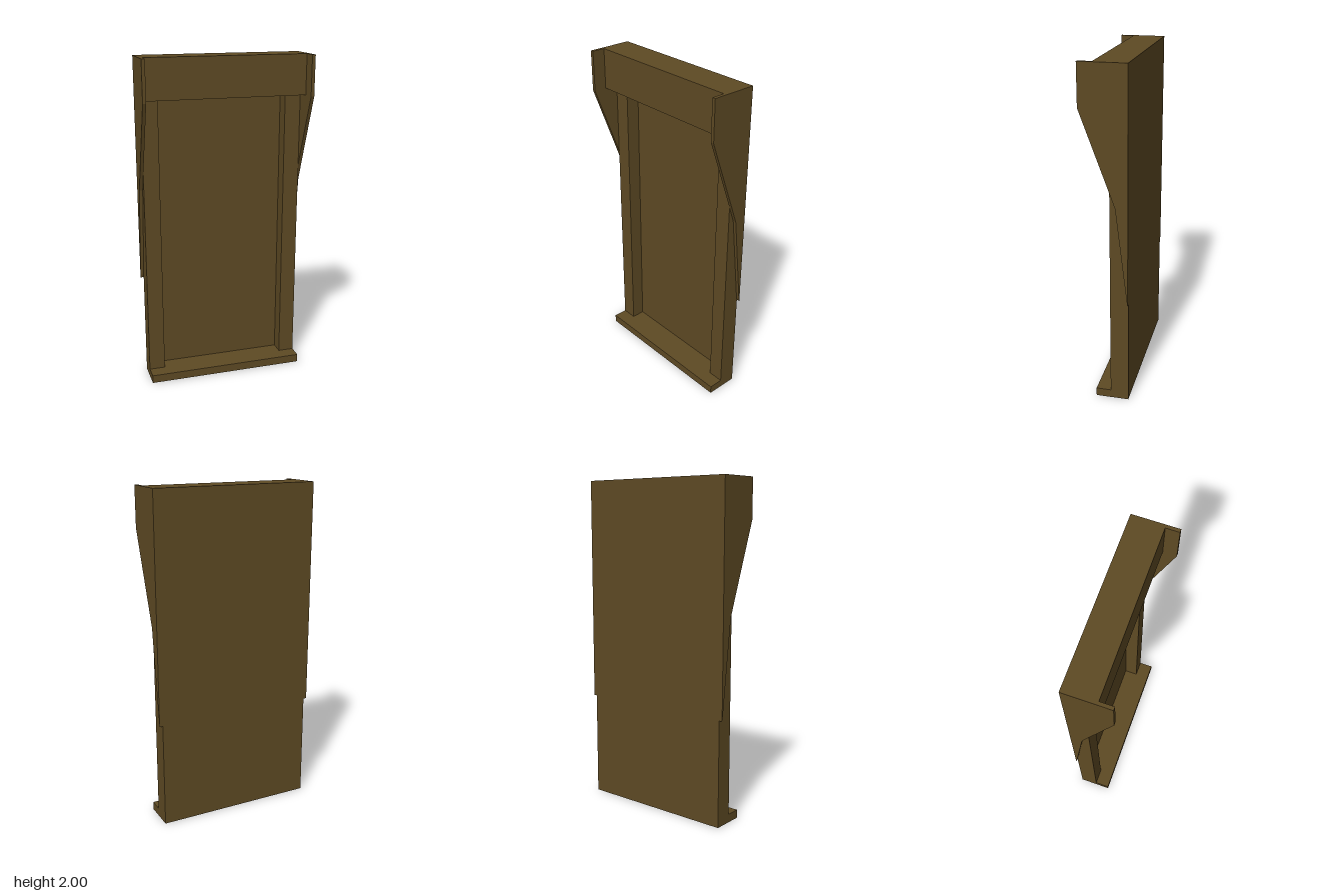
import * as THREE from 'three';

const BACK = -0.135;
const INNER = 0.487; // half width between the side cheeks
const OUTER = 0.507;

export function createModel() {
  const group = new THREE.Group();
  const wood = new THREE.MeshStandardMaterial({ color: 0x5e4a24, flatShading: true });

  const add = (name, geometry) => {
    const mesh = new THREE.Mesh(geometry, wood);
    mesh.name = name;
    group.add(mesh);
  };

  // Box given by its lower and upper limits on each axis
  const board = (name, x0, x1, y0, y1, z0, z1) => {
    const geometry = new THREE.BoxGeometry(x1 - x0, y1 - y0, z1 - z0);
    geometry.translate((x0 + x1) / 2, (y0 + y1) / 2, (z0 + z1) / 2);
    add(name, geometry);
  };

  // Recessed panel, header box and bottom ledge
  board('backPanel', -0.39, 0.39, 0.05, 1.76, BACK, -0.112);
  board('header', -INNER, INNER, 1.76, 2, BACK, 0.056);
  board('bottomLedge', -INNER, INNER, 0, 0.05, BACK, 0.06);

  // Upright stiles either side of the panel
  board('rightStile', -INNER, -0.39, 0.05, 1.76, BACK, -0.028);
  board('leftStile', 0.39, INNER, 0.05, 1.76, BACK, -0.028);

  // Tapered side cheeks, profile in (z, y)
  const profile = new THREE.Shape([
    [BACK, 2], [BACK, 0.64], [-0.13, 0.66], [-0.064, 1.22],
    [-0.028, 1.32], [0.135, 1.76], [0.135, 2],
  ].map(([z, y]) => new THREE.Vector2(z, y)));
  for (const [name, x] of [['rightCheek', -INNER], ['leftCheek', OUTER]]) {
    const cheek = new THREE.ExtrudeGeometry(profile, { depth: OUTER - INNER, bevelEnabled: false });
    cheek.rotateY(-Math.PI / 2);
    cheek.translate(x, 0, 0);
    add(name, cheek);
  }

  return group;
}
